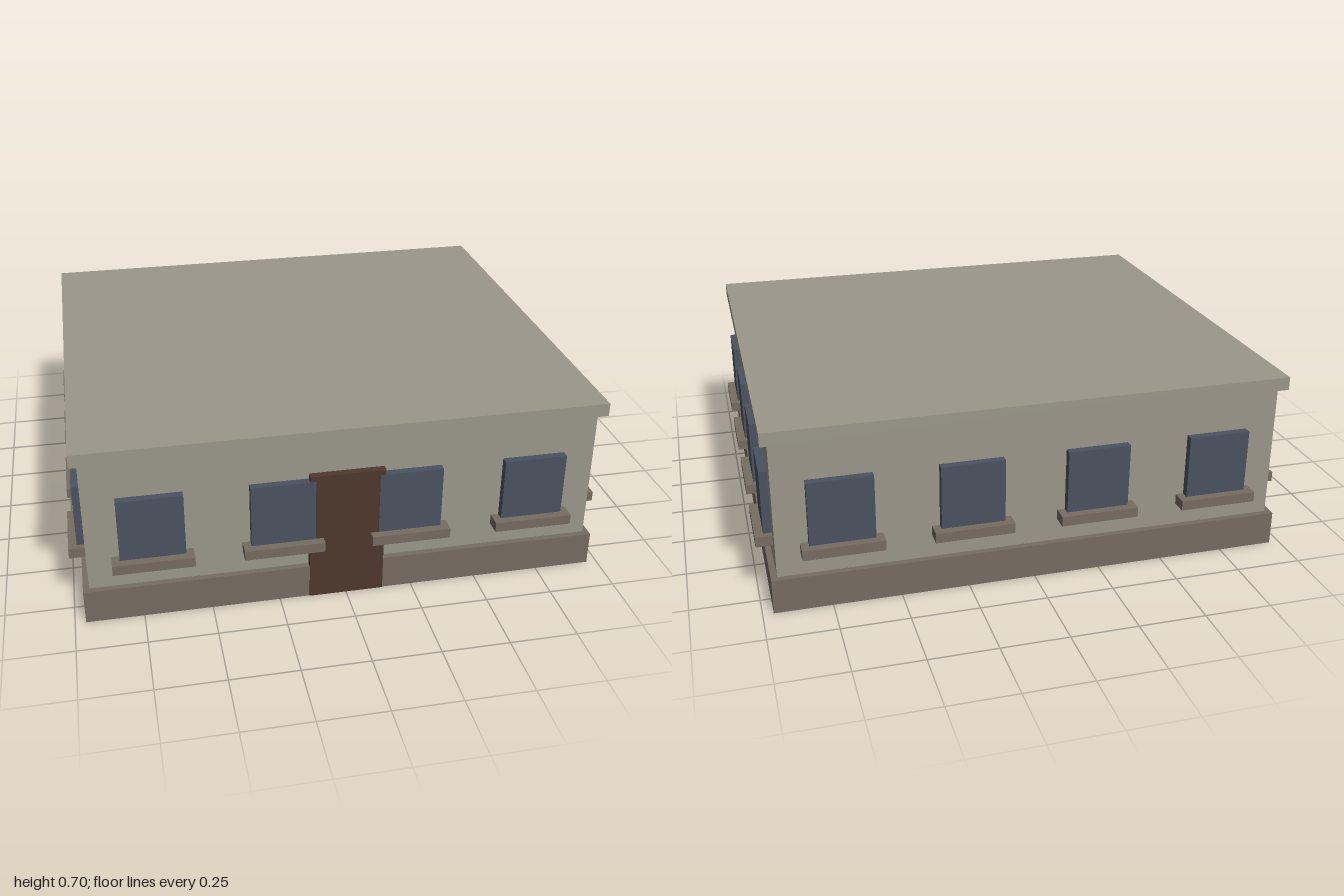
import * as THREE from 'three';

const material = (name, color) => {
  const m = new THREE.MeshStandardMaterial({ color });
  m.name = name;
  return m;
};

export function createModel() {
  const stone = material('pale stone', 0x9b978a);
  const trim = material('brown stone trim', 0x766c61);
  const glass = material('blue grey glass', 0x4a5260);
  const wood = material('dark wood', 0x4e382c);

  const building = new THREE.Group();
  building.name = 'building';

  // Box given by its size, bottom height and centre
  const addBox = (parent, name, mat, w, h, d, x, bottom, z) => {
    const mesh = new THREE.Mesh(new THREE.BoxGeometry(w, h, d), mat);
    mesh.name = name;
    mesh.position.set(x, bottom + h / 2, z);
    parent.add(mesh);
  };

  // Main body
  addBox(building, 'foundation', trim, 1.922, 0.13, 1.693, 0, 0, 0);
  addBox(building, 'walls', stone, 1.878, 0.648, 1.645, 0, 0.002, 0);
  addBox(building, 'roof', stone, 1.93, 0.05, 1.708, 0, 0.648, 0);
  addBox(building, 'door', wood, 0.277, 0.514, 0.056, 0, 0.001, 0.823);

  // Four windows with sills on each side; spacing follows the wall length
  const sides = [
    { name: 'front', angle: 0, wall: 0.8225, step: 0.47, width: 0.235, sill: 0.293 },
    { name: 'left', angle: Math.PI / 2, wall: 0.939, step: 0.413, width: 0.208, sill: 0.257 },
    { name: 'back', angle: Math.PI, wall: 0.8225, step: 0.47, width: 0.235, sill: 0.293 },
    { name: 'right', angle: -Math.PI / 2, wall: 0.939, step: 0.413, width: 0.208, sill: 0.257 },
  ];
  for (const { name, angle, wall, step, width, sill } of sides) {
    const row = new THREE.Group();
    row.name = name + 'Windows';
    row.rotation.y = angle;
    for (let i = 0; i < 4; i++) {
      const x = (i - 1.5) * step;
      addBox(row, 'window', glass, width, 0.25, 0.06, x, 0.245, wall);
      addBox(row, 'windowSill', trim, sill, 0.038, 0.122, x, 0.216, wall);
    }
    building.add(row);
  }

  return building;
}
